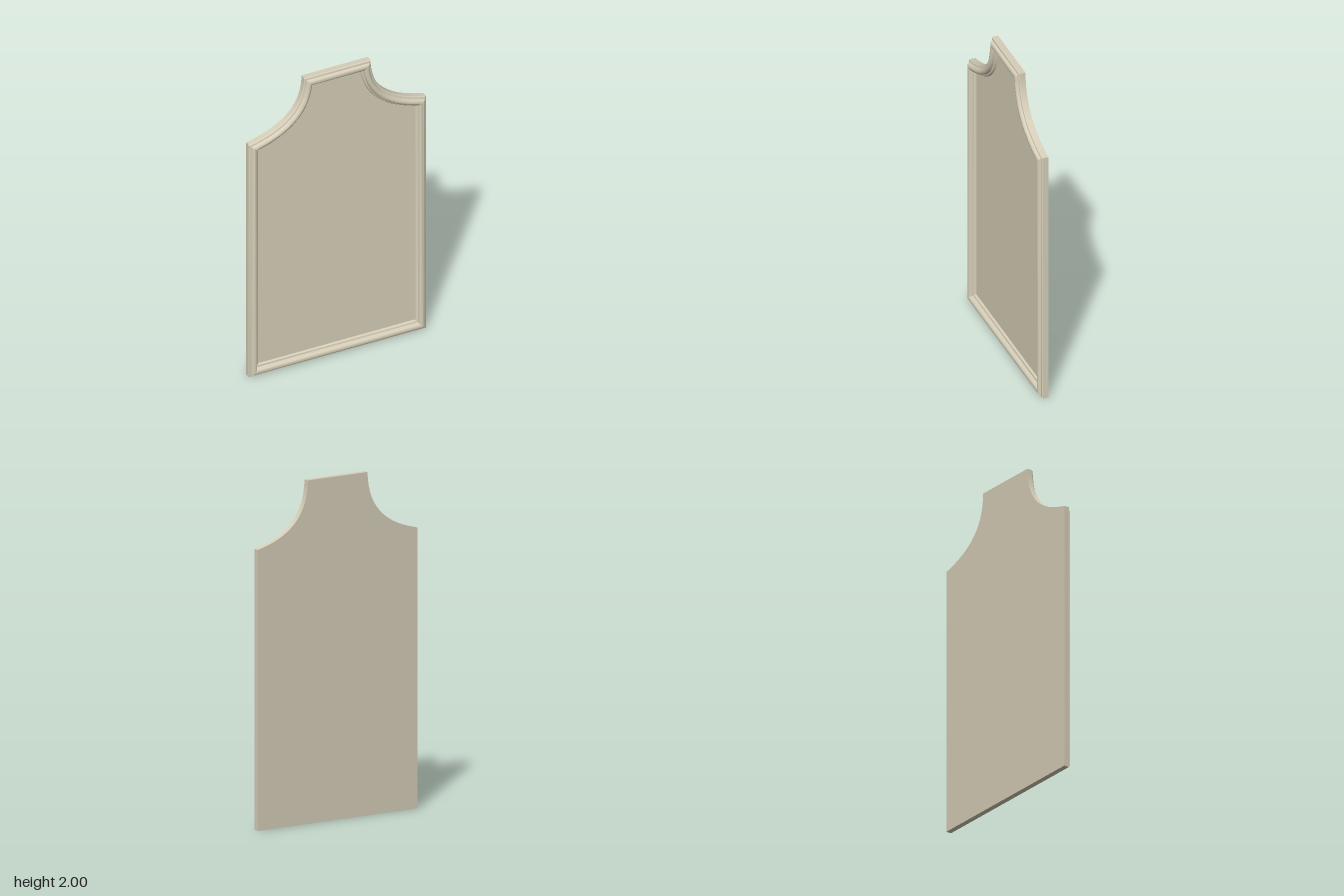
import * as THREE from 'three';
import { toCreasedNormals } from 'three/addons/utils/BufferGeometryUtils.js';

const BACK = -0.029;
const PANEL_Z = -0.011;
const FRAME = 0.069;

// Counter-clockwise outline: square base, scooped shoulders, flat top
function outline() {
  const V = (x, y) => new THREE.Vector2(x, y);
  const scoop = new THREE.CubicBezierCurve(
    V(0.56, 1.636), V(0.325, 1.69), V(0.214, 1.8), V(0.21, 2)).getPoints(24);
  const mirrored = scoop.map(p => V(-p.x, p.y)).reverse();
  return [V(-0.56, 0), V(0.56, 0), ...scoop, ...mirrored];
}

// Move every edge inward by d, with mitred corners; upright sides are a little slimmer
function inset(pts, d) {
  const n = pts.length;
  const normal = (a, b) => new THREE.Vector2(a.y - b.y, b.x - a.x).normalize();
  return pts.map((p, i) => {
    const n1 = normal(pts[(i + n - 1) % n], p);
    const n2 = normal(p, pts[(i + 1) % n]);
    const m = n1.clone().add(n2).multiplyScalar(d / (1 + n1.dot(n2)));
    return new THREE.Vector2(p.x + m.x * 0.91, p.y + m.y);
  });
}

// Sweep an [inset, z] profile round the outline
function sweep(pts, profile) {
  const pos = [], index = [], n = pts.length;
  for (const [d, z] of profile)
    for (const p of inset(pts, d)) pos.push(p.x, p.y, z);
  for (let r = 0; r < profile.length - 1; r++)
    for (let i = 0; i < n; i++) {
      const j = (i + 1) % n;
      const a = r * n + i, b = r * n + j, c = a + n, e = b + n;
      index.push(a, b, e, a, e, c);
    }
  const g = new THREE.BufferGeometry();
  g.setAttribute('position', new THREE.Float32BufferAttribute(pos, 3));
  g.setIndex(index);
  return toCreasedNormals(g, 0.6);
}

export function createModel() {
  const group = new THREE.Group();
  group.name = 'framedPanel';
  const paint = new THREE.MeshStandardMaterial({ color: 0xd6ceb8 });
  paint.name = 'warm stone';
  const add = (name, geometry) => {
    const mesh = new THREE.Mesh(geometry, paint);
    mesh.name = name;
    group.add(mesh);
  };
  const pts = outline();

  // Plain outer edge
  add('boardEdge', sweep(pts, [[0, BACK], [0, 0.004]]));

  // Stepped outer rim, broad soft crown, then a steep drop to the panel
  add('moulding', sweep(pts, [
    [0, 0.004], [0.004, 0.009], [0.014, 0.011], [0.016, 0.016],
    [0.02, 0.023], [0.026, 0.027], [0.034, 0.0285], [0.043, 0.027],
    [0.05, 0.022], [0.053, 0.016], [0.055, 0.004], [0.064, 0.001],
    [0.067, -0.003], [FRAME, PANEL_Z],
  ]));

  // Recessed front field
  const front = new THREE.ShapeGeometry(new THREE.Shape(inset(pts, FRAME)));
  add('frontPanel', front.translate(0, 0, PANEL_Z));

  // Flat back, turned to face -z (the outline is symmetrical)
  const back = new THREE.ShapeGeometry(new THREE.Shape(pts));
  add('backPanel', back.rotateY(Math.PI).translate(0, 0, BACK));

  return group;
}
